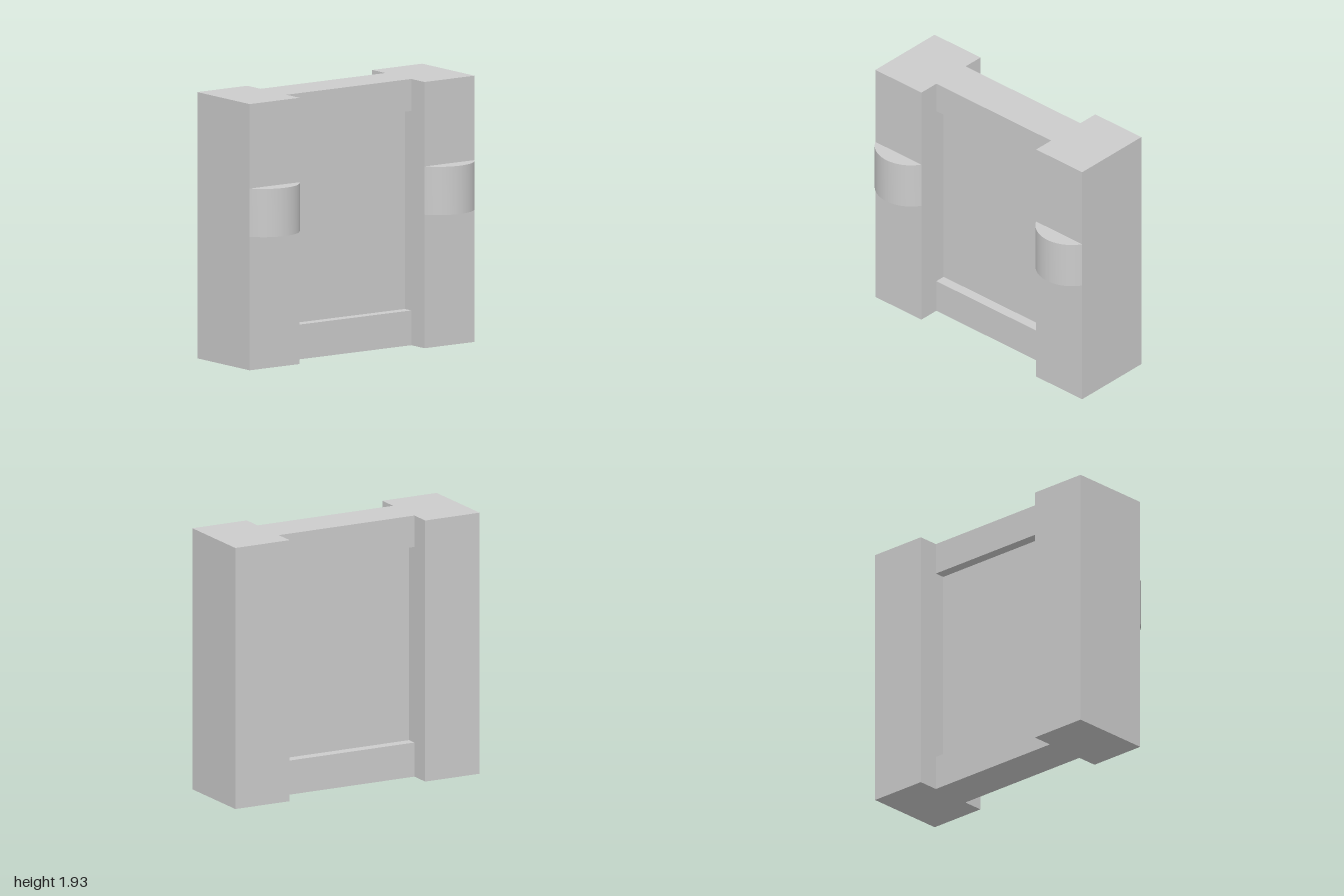
import * as THREE from 'three';
import { toCreasedNormals } from 'three/addons/utils/BufferGeometryUtils.js';

const HEIGHT = 1.93;
const INNER = 0.555; // inner face of each post
const POST_X = (1 + INNER) / 2;
const MID_Z = -0.0635; // shared centre plane of posts, rails and panel

export function createModel() {
  const group = new THREE.Group();
  const material = new THREE.MeshStandardMaterial({ color: 0xcccccc });

  const add = (name, geometry, x, y, z) => {
    const mesh = new THREE.Mesh(geometry, material);
    mesh.name = name;
    mesh.position.set(x, y, z);
    group.add(mesh);
  };
  const addBox = (name, width, y0, y1, depth, x = 0) =>
    add(name, new THREE.BoxGeometry(width, y1 - y0, depth), x, (y0 + y1) / 2, MID_Z);

  // Rounded boss: a circular segment extruded upwards
  const half = (1 - INNER) / 2;
  const rise = 0.125;
  const radius = (half * half + rise * rise) / (2 * rise);
  const angle = Math.asin(half / radius);
  const segment = new THREE.Shape();
  segment.absarc(0, rise - radius, radius, Math.PI / 2 - angle, Math.PI / 2 + angle, false);
  segment.closePath();
  const bossGeometry = toCreasedNormals(
    new THREE.ExtrudeGeometry(segment, { depth: 0.35, bevelEnabled: false, curveSegments: 32 })
      .rotateX(Math.PI / 2),
    0.5
  );

  // Posts with their bosses, mirrored left and right
  for (const [side, sign] of [['left', 1], ['right', -1]]) {
    addBox(side + 'Post', 1 - INNER, 0, HEIGHT, 0.627, sign * POST_X);
    add(side + 'Boss', bossGeometry, sign * POST_X, 1.318, 0.25);
  }

  // Rails and the panel recessed between them
  addBox('bottomRail', INNER * 2, 0, 0.252, 0.31);
  addBox('topRail', INNER * 2, 1.698, HEIGHT, 0.31);
  addBox('panel', INNER * 2, 0.252, 1.698, 0.155);

  return group;
}
